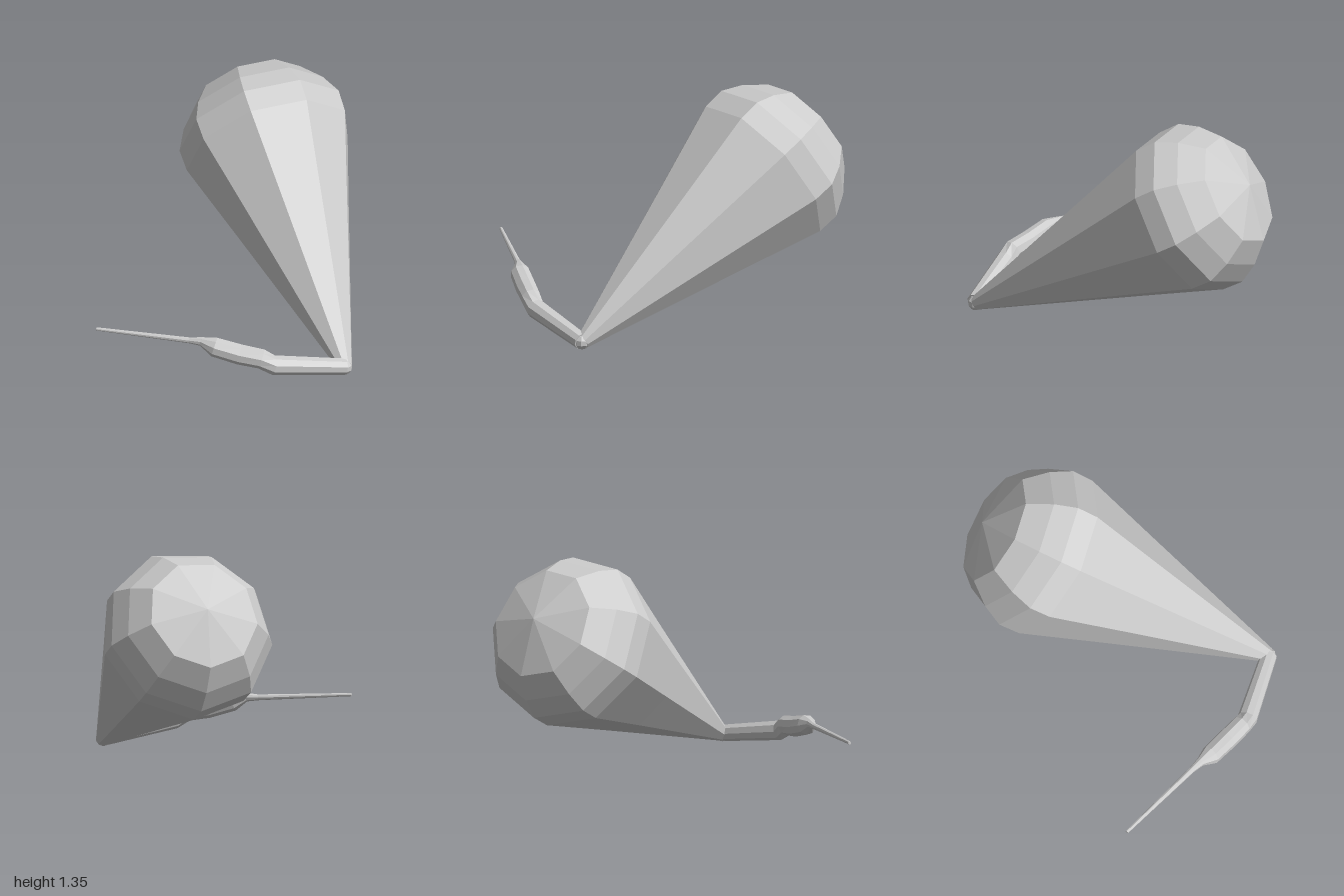
import * as THREE from 'three';

const SIDES = 9;
const material = new THREE.MeshStandardMaterial({ color: 0xcccccc, flatShading: true });

// Skin a run of [x, y, z, radius] stations with flat-sided rings
function loft(stations) {
  const centres = stations.map(([x, y, z]) => new THREE.Vector3(x, y, z));
  const last = centres.length - 1;
  const up = new THREE.Vector3(0, 1, 0);
  const positions = [], index = [];
  const addRing = (i, radius) => {
    const tangent = centres[Math.min(i + 1, last)].clone().sub(centres[Math.max(i - 1, 0)]).normalize();
    const side = tangent.clone().cross(up).normalize();
    const top = side.clone().cross(tangent);
    for (let j = 0; j < SIDES; j++) {
      const a = (j / SIDES) * Math.PI * 2;
      const p = centres[i].clone()
        .addScaledVector(side, Math.cos(a) * radius)
        .addScaledVector(top, Math.sin(a) * radius);
      positions.push(p.x, p.y, p.z);
    }
  };
  addRing(0, 0); // closed start
  stations.forEach((s, i) => addRing(i, s[3]));
  addRing(last, 0); // closed end
  const rings = stations.length + 2;
  for (let i = 0; i < rings - 1; i++) {
    for (let j = 0; j < SIDES; j++) {
      const k = (j + 1) % SIDES;
      const a = i * SIDES + j, b = (i + 1) * SIDES + j;
      const c = (i + 1) * SIDES + k, d = i * SIDES + k;
      if (i < rings - 2) index.push(a, b, c);
      if (i > 0) index.push(a, c, d);
    }
  }
  const geometry = new THREE.BufferGeometry();
  geometry.setAttribute('position', new THREE.Float32BufferAttribute(positions, 3));
  geometry.setIndex(index);
  geometry.computeVertexNormals();
  return geometry;
}

export function createModel() {
  const group = new THREE.Group();
  group.name = 'bulbOnStem';

  // Bulb: nine-sided cone swelling into a rounded cap
  const profile = [
    [0, -0.02], [0.045, 0], [0.355, 1.04], [0.512, 1.56], [0.515, 1.7],
    [0.45, 1.83], [0.34, 1.96], [0, 2.05],
  ].map(([r, t]) => new THREE.Vector2(r, t));
  const bulb = new THREE.Mesh(
    new THREE.LatheGeometry(profile, SIDES, THREE.MathUtils.degToRad(10)), material);
  bulb.name = 'bulb';

  // Lean the bulb back, up and to the right from the elbow
  const elbow = new THREE.Vector3(0.715, 0.055, 0.735);
  const axis = new THREE.Vector3(0.15, 0.86, -0.5).sub(elbow).normalize();
  const under = new THREE.Vector3(0, axis.z, -axis.y).normalize();
  const across = axis.clone().cross(under);
  bulb.quaternion.setFromRotationMatrix(new THREE.Matrix4().makeBasis(across, axis, under));
  bulb.position.copy(elbow);
  group.add(bulb);

  // Stem: bent rod from the elbow, thinning to a long tail
  const stem = new THREE.Mesh(loft([
    [0.715, 0.06, 0.742, 0.05],
    [0.3, 0.15, 0.92, 0.06],
    [0.23, 0.195, 0.93, 0.061],
    [0.1, 0.218, 0.927, 0.063],
    [-0.05, 0.26, 0.925, 0.06],
    [-0.13, 0.286, 0.912, 0.027],
    [-0.2, 0.286, 0.905, 0.018],
    [-0.76, 0.315, 0.865, 0.01],
  ]), material);
  stem.name = 'stem';
  group.add(stem);

  // Elbow: small faceted knuckle joining stem and bulb
  const joint = new THREE.Mesh(new THREE.SphereGeometry(0.048, SIDES, 5), material);
  joint.name = 'elbow';
  joint.position.set(0.712, 0.056, 0.738);
  group.add(joint);

  return group;
}
